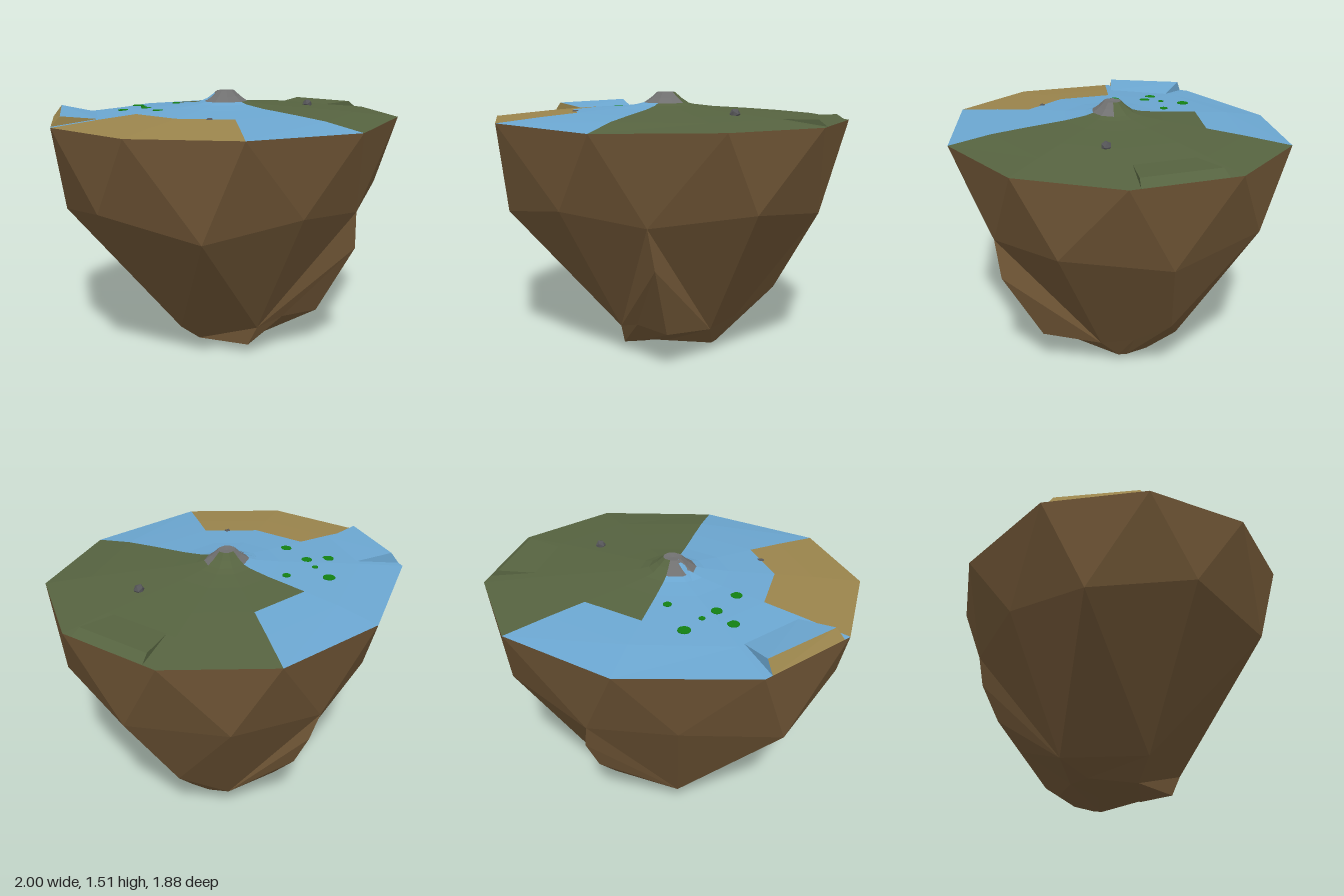
import * as THREE from 'three';

const N = 10;
const mat = (color) => new THREE.MeshStandardMaterial({ color, flatShading: true, side: THREE.DoubleSide });
const V = (x, y, z) => new THREE.Vector3(x, y, z);

// Corners of the island's rim, counted from the front towards the left side
const RIM = [[0.02, 0.935], [0.66, 0.745], [1, 0.275], [1, -0.305], [0.66, -0.77],
  [0.03, -0.94], [-0.66, -0.765], [-1, -0.3], [-1, 0.28], [-0.66, 0.745]]
  .map(([x, z], k) => V(x, k % 5 === 0 ? 1.347 : 1.36, z));

// One triangle, left out where two corners coincide
function tri(out, a, b, c) {
  if (!a.equals(b) && !b.equals(c) && !a.equals(c)) out.push(a, b, c);
}

// Two outward triangles for column k between an upper ring a and a lower ring b
function quad(out, a, b, k) {
  const n = (k + 1) % N;
  tri(out, a[k], b[k], a[n]);
  tri(out, b[k], b[n], a[n]);
}

function meshFrom(points, color, name) {
  const geo = new THREE.BufferGeometry().setFromPoints(points);
  geo.computeVertexNormals();
  const mesh = new THREE.Mesh(geo, mat(color));
  mesh.name = name;
  return mesh;
}

// Tapering rock below the rim
function buildRock() {
  const radius = [0.8, 0.93, 0.92, 0.94, 0.81, 0.8, 0.93, 0.95, 0.92, 0.82];
  const height = [0.87, 0.94, 0.87, 0.94, 0.86, 0.92, 0.85, 0.94, 0.84, 0.92];
  const shoulder = radius.map((r, k) => {
    const a = (k + 0.5) * Math.PI / 5;
    return V(r * Math.sin(a), height[k], r * Math.cos(a));
  });

  // Foot of the long facets, and the corners of the two fins (front and back)
  const foot = [[-0.12, 0.18, 0.36], [0.37, 0.18, 0.2], [0.46, 0.22, 0.03], [0.64, 0.38, -0.12],
    [0.37, 0.16, -0.27], [-0.145, 0.17, -0.4], [-0.39, 0.17, 0.01]].map((p) => V(...p));
  const frontTip = V(0.28, 0.65, 0.74), frontA = V(0.02, 0.23, 0.43), frontB = V(0.24, 0.23, 0.51);
  const backFin = [shoulder[4], V(0.28, 0.7, -0.73), V(0.25, 0.48, -0.63), V(0.21, 0.3, -0.48)];

  const tris = [];
  const lower = [1, 2, 3, 4, 5, 5, 6, 6, 0, 0].map((i) => foot[i]);
  for (let k = 0; k < N; k++) {
    quad(tris, RIM, shoulder, k);
    tri(tris, shoulder[k], lower[k], shoulder[(k + 1) % N]);
    // the gaps below shoulders 0 and 4 are filled by the fins
    if (k !== 9 && k !== 3) tri(tris, lower[k], lower[(k + 1) % N], shoulder[(k + 1) % N]);
  }

  // Fins: a ridge joined to the foot corner on each side
  const fin = (ridge, before, after) => {
    for (let i = 0; i < ridge.length - 1; i++) {
      if (before) tri(tris, ridge[i], before, ridge[i + 1]);
      if (after) tri(tris, ridge[i], ridge[i + 1], after);
    }
  };
  fin(backFin, foot[4], foot[5]);
  fin([shoulder[0], frontTip, frontA], foot[0], null);
  fin([shoulder[0], frontTip, frontB], null, foot[1]);
  tri(tris, frontTip, frontA, frontB);

  // Underside with two lobes
  const edge = [foot[0], frontA, frontB, foot[1], foot[2], foot[3], foot[4], backFin[3], foot[5], foot[6]];
  const base = [[-0.13, 0.06, 0.3], [0.02, 0.1, 0.3], [0.15, 0.12, 0.32], [0.33, 0.05, 0.08],
    [0.34, 0.05, 0.03], [0.33, 0.06, -0.1], [0.25, 0.09, -0.23], [0.05, 0.1, -0.25],
    [-0.12, 0.09, -0.22], [-0.25, 0.06, 0.02]].map((p) => V(...p));
  const lobeA = V(-0.09, 0.01, 0.12), lobeB = V(0.17, 0.004, -0.01);
  const lobes = [lobeA, V(-0.01, 0.04, 0.15), V(0.09, 0.04, 0.1), lobeB, lobeB, lobeB, lobeB,
    V(0.05, 0.05, -0.08), V(-0.03, 0.04, -0.04), lobeA];
  const centre = Array(N).fill(V(0.03, 0.05, 0.06));
  for (let k = 0; k < N; k++) {
    quad(tris, edge, base, k);
    quad(tris, base, lobes, k);
    quad(tris, lobes, centre, k);
  }
  return meshFrom(tris, 0x705636, 'rockBody');
}

// Height of the ground as [share of the rim radius, y], from the peak outwards
const PROFILE = [[0, 1.505], [0.05, 1.51], [0.085, 1.478], [0.125, 1.45], [0.17, 1.438],
  [0.3, 1.422], [0.54, 1.404], [0.75, 1.386], [1, 1.35]];

function groundY(f) {
  const i = Math.max(1, PROFILE.findIndex((p) => p[0] >= f));
  const [f0, y0] = PROFILE[i - 1], [f1, y1] = PROFILE[i];
  return y0 + (y1 - y0) * (f - f0) / (f1 - f0);
}

// Ground surface split into meadow, water, sand and the central hill
function buildGround(group) {
  const rings = PROFILE.map(([f, y]) => RIM.map((p) => (f === 1 ? p : V(p.x * f, y, p.z * f))));
  const parts = { meadow: [], water: [], sand: [], hill: [] };
  for (let i = 0; i < rings.length - 1; i++) {
    for (let k = 0; k < N; k++) {
      let region = 'water';
      if (i < 3) region = i > 0 && k >= 2 && k <= 4 ? 'meadow' : 'hill';
      else if (k < 4 || (k === 4 && i < 6)) region = 'meadow';
      else if (i >= 6 && (k === 7 || k === 8)) region = 'sand';
      quad(parts[region], rings[i], rings[i + 1], k);
    }
  }

  // Raised bank along rim edge k: sloping face, top and two ends
  const bank = (k, t0, t1, yStart, yEnd, face, top) => {
    const [o0, o1] = [t0, t1].map((t) => RIM[k].clone().lerp(RIM[k + 1], t));
    const i0 = V(o0.x * 0.95, yStart, o0.z * 0.95), i1 = V(o1.x * 0.95, yEnd, o1.z * 0.95);
    const b0 = V(o0.x * 0.75, 1.387, o0.z * 0.75), b1 = V(o1.x * 0.75, 1.387, o1.z * 0.75);
    face.push(i0, o0, i1, o0, o1, i1, i1, o1, b1);
    top.push(b0, i0, b1, i0, i1, b1, b0, o0, i0);
  };
  bank(2, 0.1, 0.87, 1.395, 1.395, parts.meadow, parts.meadow);
  bank(6, 0.08, 0.93, 1.425, 1.412, parts.sand, parts.water);

  const colors = { meadow: 0x566340, water: 0x6ba6d0, sand: 0x9a844c, hill: 0x707070 };
  for (const name in parts) group.add(meshFrom(parts[name], colors[name], name));

  // Stream running down the back right of the hill
  const stream = [V(-0.045, 1.51, -0.015), V(-0.03, 1.51, -0.035), V(-0.08, 1.467, -0.07),
    V(-0.1, 1.462, -0.04), V(-0.18, 1.438, -0.06), V(-0.14, 1.438, -0.11)];
  const order = [0, 1, 2, 0, 2, 3, 3, 2, 5, 3, 5, 4];
  group.add(meshFrom(order.map((i) => stream[i]), 0x6ba6d0, 'stream'));
}

export function createModel() {
  const group = new THREE.Group();
  group.name = 'floatingIsland';
  group.add(buildRock());
  buildGround(group);

  // Round leaves floating on the water
  const leaves = [[-0.21, -0.53, 0.034], [-0.43, -0.405, 0.032], [-0.325, -0.325, 0.03],
    [-0.27, -0.41, 0.017], [-0.07, -0.345, 0.023], [-0.39, -0.15, 0.031]];
  for (const [x, z, r] of leaves) {
    const leaf = new THREE.Mesh(new THREE.CylinderGeometry(r, r, 0.004, 16), mat(0x138013));
    leaf.position.set(x, groundY(Math.hypot(x, z) / 0.96) + 0.002, z);
    leaf.name = 'lilyPad';
    group.add(leaf);
  }

  // Loose stones
  for (const [x, z] of [[-0.435, 0.295], [0.5, 0.21]]) {
    const stone = new THREE.Mesh(new THREE.IcosahedronGeometry(0.03, 0), mat(0x555558));
    stone.position.set(x, x > 0 ? 1.41 : 1.385, z);
    stone.name = 'stone';
    group.add(stone);
  }
  return group;
}
